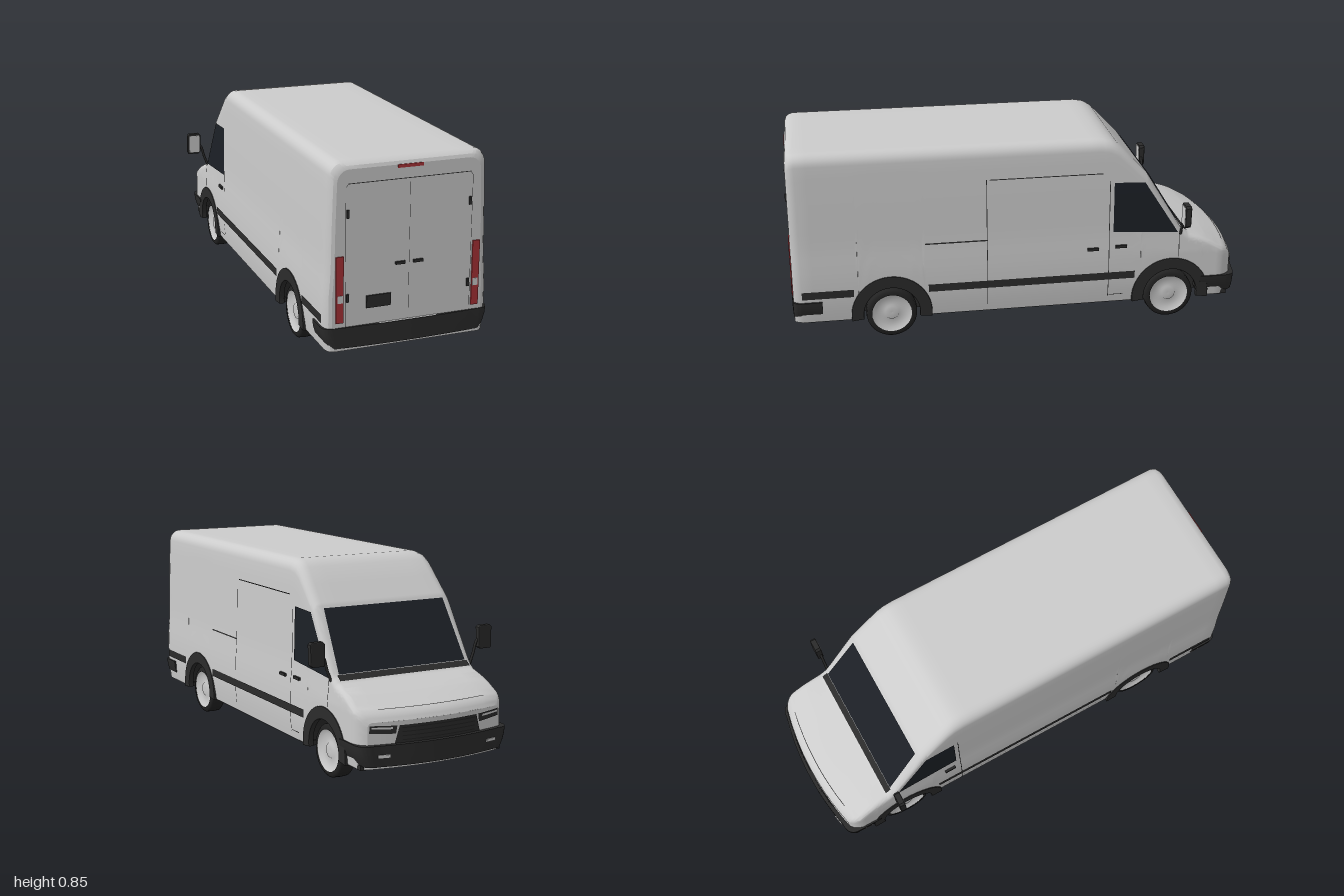
import * as THREE from 'three';
import { toCreasedNormals } from 'three/addons/utils/BufferGeometryUtils.js';

const mat = (color) => new THREE.MeshStandardMaterial({ color, side: THREE.DoubleSide });
const paint = mat(0xcccccc), dark = mat(0x2b2b2b), glass = mat(0x1c2026);
const red = mat(0xa83236), lamp = mat(0xe6e6e6), tyreMat = mat(0x222222);

// Piecewise linear lookup in [[key, value], ...] with rising keys
function interp(table, k) {
  if (k <= table[0][0]) return table[0][1];
  for (let i = 1; i < table.length; i++) {
    const [a, va] = table[i - 1], [b, vb] = table[i];
    if (k <= b) return va + (vb - va) * (k - a) / (b - a);
  }
  return table[table.length - 1][1];
}

// Body rules: roof line, side bulge, rounding of the ends, corner radius
const ROOF = [[-0.978, 0.285], [-0.965, 0.308], [-0.945, 0.325], [-0.85, 0.365], [-0.74, 0.402], [-0.71, 0.425],
  [-0.55, 0.685], [-0.42, 0.82], [-0.385, 0.842], [-0.34, 0.85], [0.95, 0.85]];
const SIDE = [[0.1, 0.333], [0.18, 0.343], [0.32, 0.342], [0.42, 0.334], [0.6, 0.33], [0.8, 0.323]];
const INSET = [[-0.978, 0.035], [-0.97, 0.02], [-0.955, 0.008], [-0.93, 0], [0.95, 0], [0.97, 0.005], [0.982, 0.015], [0.987, 0.028]];
const RADIUS = [[-0.97, 0.02], [-0.75, 0.03], [-0.55, 0.04], [-0.4, 0.05]];
const WHEELS = [0.57, -0.665], ARCH = 0.14;

const topY = (z) => interp(ROOF, z) - (z > 0 ? interp(INSET, z) : 0);
const sideX = (y, z) => interp(SIDE, y) - interp(INSET, z);
const bow = (x, z) => 0.045 * (x / 0.34) ** 2 * THREE.MathUtils.smoothstep(-z, 0.78, 0.978);
const bottomY = (z) => WHEELS.reduce((y, c) =>
  Math.abs(z - c) < ARCH ? Math.max(y, 0.12 + Math.sqrt(ARCH ** 2 - (z - c) ** 2)) : y, 0.1);

// Half section from sill to roof centre, mirrored into a full one
function section(z) {
  const r = interp(RADIUS, z), top = topY(z), low = bottomY(z), half = [];
  for (let i = 0; i <= 12; i++) {
    const y = low + (top - r - low) * i / 12;
    half.push([sideX(y, z), y]);
  }
  const cx = half[12][0] - r;
  for (let i = 1; i <= 6; i++) {
    const a = i / 6 * Math.PI / 2;
    half.push([cx + r * Math.cos(a), top - r + r * Math.sin(a)]);
  }
  for (let i = 3; i >= 1; i--) half.push([cx * i / 4, top]);
  return [...half, [0, top], ...half.slice().reverse().map(([x, y]) => [-x, y])];
}

function gridGeometry(rows) {
  const n = rows[0].length, index = [];
  for (let i = 0; i < rows.length - 1; i++) for (let j = 0; j < n - 1; j++) {
    const a = i * n + j, d = a + n;
    index.push(a, d, d + 1, a, d + 1, a + 1);
  }
  const g = new THREE.BufferGeometry();
  g.setAttribute('position', new THREE.Float32BufferAttribute(rows.flat(2), 3));
  g.setIndex(index);
  g.computeVertexNormals();
  return g;
}

export function createModel() {
  const van = new THREE.Group();
  const add = (name, geometry, material, x = 0, y = 0, z = 0) => {
    const m = new THREE.Mesh(geometry, material);
    m.name = name;
    m.position.set(x, y, z);
    van.add(m);
    return m;
  };
  const box = (name, w, h, d, material, x, y, z) => add(name, new THREE.BoxGeometry(w, h, d), material, x, y, z);

  // Four-cornered panel laid on a surface given by map(a, b)
  const panel = (name, [p, q, r, s], map, material, n = 8) => {
    const mix = (a, b, t) => a + (b - a) * t, rows = [];
    for (let i = 0; i <= n; i++) {
      const row = [];
      for (let j = 0; j <= n; j++) {
        const u = i / n, v = j / n;
        row.push(map(...[0, 1].map((k) => mix(mix(p[k], q[k], u), mix(s[k], r[k], u), v))));
      }
      rows.push(row);
    }
    add(name, gridGeometry(rows), material);
  };
  const rect = (a0, a1, b0, b1) => [[a0, b0], [a1, b0], [a1, b1], [a0, b1]];
  const onSide = (s) => (z, y) => [s * (sideX(y, z) + 0.003), y, z];
  const onRear = (x, y) => [x, y, 0.99];
  const onFront = (x, y) => [x, y, -0.982 + bow(x, -0.978)];
  const onTop = (x, z) => [x, topY(z) + 0.003, z - 0.003];

  // Body shell
  const zs = [...ROOF, ...INSET].map((e) => e[0]);
  for (const c of WHEELS) for (let i = 0; i <= 24; i++) zs.push(c - Math.cos(i / 24 * Math.PI) * (ARCH + 0.0005));
  for (let z = -0.9; z < 0.95; z += 0.06) zs.push(z);
  const stations = [...new Set(zs)].sort((a, b) => b - a);
  const place = (z) => ([x, y]) => [x, y, z + bow(x, z)];
  const shell = gridGeometry(stations.map((z) => section(z).map(place(z))));
  add('body', toCreasedNormals(shell, 0.5), paint);

  // Flat ends of the shell
  for (const [name, z, dir] of [['rearPanel', 0.987, 1], ['nosePanel', -0.978, -1]]) {
    const sec = section(z), rows = [];
    for (let i = 0; i < sec.length / 2; i++) {
      const row = [];
      for (let j = -6; j <= 6; j++) row.push(place(z)([dir * sec[i][0] * j / 6, sec[i][1]]));
      rows.push(row.reverse());
    }
    add(name, gridGeometry(rows), paint);
  }

  // Underbody
  box('underbody', 0.5, 0.18, 1.86, dark, 0, 0.185, 0.01);
  for (const [a, b] of [[0.96, 0.71], [0.43, -0.525], [-0.805, -0.93]])
    box('floor', 0.66, 0.02, a - b, dark, 0, 0.107, (a + b) / 2);

  // Bumpers: plan outline, narrowing towards the bottom
  const bumper = (name, zIn, zCorner, zEnd, xEnd, zBow) => {
    const s = new THREE.Shape();
    s.moveTo(0.35, zIn);
    s.lineTo(0.35, zCorner);
    s.quadraticCurveTo(0.35, zEnd, xEnd, zEnd);
    s.quadraticCurveTo(0, zBow, -xEnd, zEnd);
    s.quadraticCurveTo(-0.35, zEnd, -0.35, zCorner);
    s.lineTo(-0.35, zIn);
    const g = new THREE.ExtrudeGeometry(s, { depth: 0.085, steps: 3, bevelEnabled: false, curveSegments: 14 });
    g.rotateX(Math.PI / 2);
    const p = g.attributes.position;
    for (let i = 0; i < p.count; i++) p.setX(i, p.getX(i) * (1 - 0.07 * (p.getY(i) / 0.085) ** 2));
    add(name, toCreasedNormals(g, 0.6), dark, 0, 0.197, 0);
  };
  bumper('rearBumper', 0.865, 0.95, 0.99, 0.31, 1.01);
  bumper('frontBumper', -0.8, -0.91, -0.965, 0.29, -1.03);

  // Windscreen and cowl
  panel('windscreen', [[-0.287, -0.56], [0.287, -0.56], [0.302, -0.709], [-0.302, -0.709]], onTop, glass);
  panel('cowl', rect(-0.31, 0.31, -0.735, -0.71), onTop, dark);

  // Nose: grille with bars, bonnet seams
  panel('grille', [[-0.2, 0.198], [0.2, 0.198], [0.18, 0.268], [-0.18, 0.268]], onFront, dark);
  for (let i = 0; i < 4; i++) {
    const y = 0.208 + i * 0.016;
    panel('grilleBar', rect(-0.17, 0.17, y, y + 0.004), (a, b) => [a, b, onFront(a, b)[2] - 0.003], tyreMat);
  }
  panel('bonnetSeam', rect(-0.25, 0.25, -0.945, -0.942),
    (x, z) => [x, topY(z) + 0.002, z + bow(x, z)], dark);

  // Tyre and rim profiles
  const tyre = new THREE.LatheGeometry([[0.086, -0.035], [0.1, -0.035], [0.109, -0.027], [0.111, 0],
    [0.109, 0.027], [0.1, 0.035], [0.086, 0.035]].map((p) => new THREE.Vector2(...p)), 36).rotateZ(-Math.PI / 2);
  const rim = new THREE.LatheGeometry([[0, 0.024], [0.03, 0.026], [0.034, 0.018], [0.07, 0.02], [0.09, 0.033]]
    .map((p) => new THREE.Vector2(...p)), 32).rotateZ(-Math.PI / 2);
  const archShape = new THREE.Shape();
  archShape.absarc(0, 0, 0.17, -0.12, Math.PI + 0.12, false);
  archShape.absarc(0, 0, 0.125, Math.PI + 0.12, -0.12, true);
  const arch = new THREE.ExtrudeGeometry(archShape,
    { depth: 0.016, bevelSize: 0.004, bevelThickness: 0.004, bevelSegments: 2, curveSegments: 28 }).rotateY(Math.PI / 2);
  const liner = new THREE.CylinderGeometry(ARCH, ARCH, 0.1, 24, 1, true, 0, Math.PI).rotateZ(Math.PI / 2);

  for (const s of [1, -1]) {
    const side = onSide(s);
    for (const z of WHEELS) {
      add('tyre', tyre, tyreMat, s * 0.29, 0.111, z);
      add('rim', rim, paint, s * 0.29, 0.111, z).rotation.y = s < 0 ? Math.PI : 0;
      add('archTrim', arch, dark, s > 0 ? 0.327 : -0.343, 0.12, z);
      add('wheelWell', liner, dark, s * 0.283, 0.12, z);
    }

    // Cab window, stripes, door seams and handles
    panel('cabWindow', [[-0.4, 0.435], [-0.69, 0.415], [-0.535, 0.655], [-0.4, 0.66]], side, glass);
    panel('sideStripe', rect(0.95, 0.73, 0.212, 0.246), side, dark);
    panel('sideStripe', rect(0.41, -0.5, 0.212, 0.246), side, dark, 12);
    panel('cabDoorSeam', rect(-0.38, -0.383, 0.13, 0.67), side, dark);
    panel('cabDoorSeam', rect(-0.695, -0.698, 0.3, 0.41), side, dark);
    panel('cabDoorSeam', rect(-0.385, -0.45, 0.135, 0.138), side, dark);
    box('cabHandle', 0.012, 0.012, 0.05, dark, s * 0.342, 0.366, -0.435);

    // Mirror
    const arm = new THREE.CatmullRomCurve3([[0.333, 0.405], [0.35, 0.45], [0.368, 0.505], [0.39, 0.515]]
      .map(([x, y]) => new THREE.Vector3(s * x, y, -0.703)));
    add('mirrorArm', new THREE.TubeGeometry(arm, 12, 0.006, 8), dark);
    const m = new THREE.Shape();
    m.moveTo(-0.026, -0.047).lineTo(0.02, -0.047).lineTo(0.027, -0.04).lineTo(0.03, 0.04)
      .lineTo(0.023, 0.047).lineTo(-0.022, 0.047).lineTo(-0.029, 0.04).lineTo(-0.03, -0.04);
    add('mirrorHousing', new THREE.ExtrudeGeometry(m, { depth: 0.016, bevelSize: 0.003, bevelThickness: 0.005, bevelSegments: 2 }),
      dark, s * 0.4, 0.519, -0.714);
    box('mirrorGlass', 0.05, 0.082, 0.003, paint, s * 0.4, 0.519, -0.693);

    // Front lamps
    panel('headlamp', [[s * 0.195, 0.236], [s * 0.303, 0.245], [s * 0.302, 0.274], [s * 0.19, 0.268]], onFront, dark);
    panel('headlampBar', [[s * 0.21, 0.256], [s * 0.295, 0.261], [s * 0.295, 0.268], [s * 0.21, 0.264]],
      (a, b) => [a, b, onFront(a, b)[2] - 0.003], lamp);
    box('fogLamp', 0.05, 0.012, 0.016, lamp, s * 0.25, 0.155, -0.968).rotation.y = -s * 0.2;

    // Rear lamps, hinges, handles and door seams
    box('rearLamp', 0.031, 0.268, 0.012, red, s * 0.285, 0.351, 0.986);
    box('reverseLamp', 0.022, 0.03, 0.014, lamp, s * 0.284, 0.314, 0.987);
    for (const y of [0.65, 0.315]) box('hinge', 0.01, 0.032, 0.01, dark, s * 0.253, y, 0.989);
    box('rearHandle', 0.04, 0.011, 0.014, dark, s * 0.037, 0.433, 0.989);
    panel('rearDoorSeam', rect(s * 0.261, s * 0.2625, 0.2, 0.756), onRear, dark, 1);
    panel('rearDoorSeam', [[s * 0.261, 0.755], [s * 0.252, 0.768], [s * 0.252, 0.766], [s * 0.259, 0.755]], onRear, dark, 1);
  }

  // Sliding door on one side only
  const left = onSide(1);
  panel('slideRail', rect(0.42, 0.15, 0.429, 0.435), left, dark);
  panel('slideDoorSeam', rect(0.155, 0.152, 0.13, 0.705), left, dark);
  panel('slideDoorSeam', rect(0.14, -0.35, 0.702, 0.706), left, dark);
  box('slideHandle', 0.012, 0.012, 0.05, dark, 0.342, 0.36, -0.31);

  // Rear centre details
  panel('rearDoorSeam', rect(-0.253, 0.253, 0.766, 0.769), onRear, dark, 1);
  panel('rearDoorSeam', rect(-0.0006, 0.0006, 0.2, 0.766), onRear, dark, 1);
  box('numberPlate', 0.1, 0.05, 0.008, dark, -0.125, 0.29, 0.989);
  box('brakeLamp', 0.106, 0.013, 0.01, red, 0, 0.816, 0.985);
  box('bumperStep', 0.24, 0.003, 0.012, paint, 0, 0.196, 0.99);
  return van;
}
